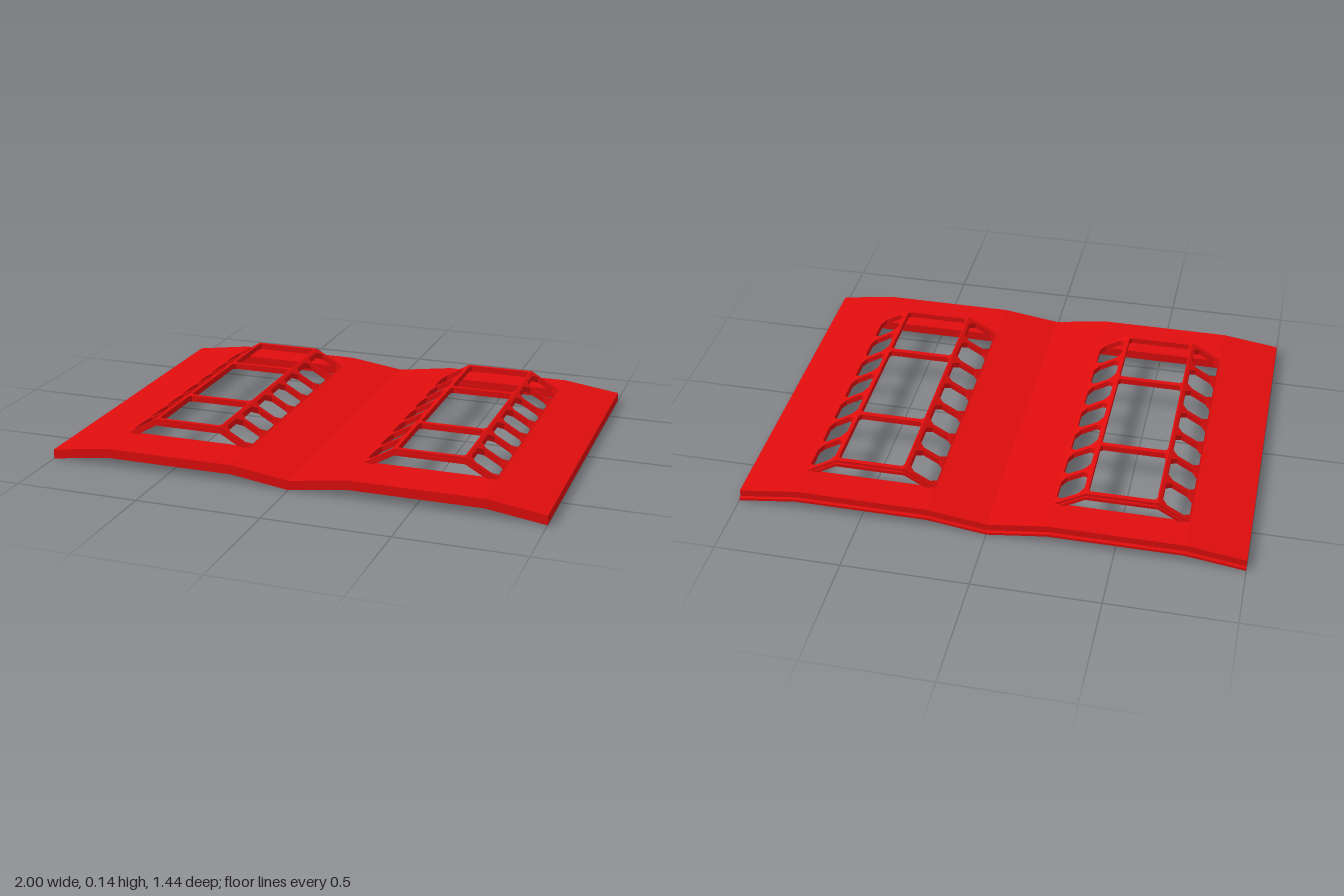
import * as THREE from 'three';

const red = new THREE.MeshStandardMaterial({ color: 0xe00d0d, flatShading: true });

// Piecewise linear height over x, from a list of [x, y] points
const heightAt = (profile, x) => {
  for (let i = 1; i < profile.length; i++) {
    const [x0, y0] = profile[i - 1], [x1, y1] = profile[i];
    if (x <= x1 + 1e-6) return y0 + (y1 - y0) * (x - x0) / (x1 - x0);
  }
  return profile[profile.length - 1][1];
};

// Rectangle with chamfered corners, in plan (x, z)
function outline(target, [x0, x1, z0, z1], c = 0) {
  const pts = c
    ? [[x0 + c, z0], [x1 - c, z0], [x1, z0 + c], [x1, z1 - c], [x1 - c, z1], [x0 + c, z1], [x0, z1 - c], [x0, z0 + c]]
    : [[x0, z0], [x1, z0], [x1, z1], [x0, z1]];
  return target.setFromPoints(pts.map(p => new THREE.Vector2(...p)));
}

// Plate cut from plan, bent along a height profile; lies `drop` below it, `thick` deep
function plate(name, profile, rect, thick, drop = 0, holes = [], chamfer = 0) {
  const shape = outline(new THREE.Shape(), rect);
  for (const h of holes) shape.holes.push(outline(new THREE.Path(), h, chamfer));
  const geo = new THREE.ExtrudeGeometry(shape, { depth: thick, bevelEnabled: false });
  geo.rotateX(Math.PI / 2);
  const p = geo.attributes.position;
  for (let i = 0; i < p.count; i++) p.setY(i, p.getY(i) - drop + heightAt(profile, p.getX(i)));
  geo.computeVertexNormals();
  const mesh = new THREE.Mesh(geo, red);
  mesh.name = name;
  return mesh;
}

const ROOF = [[-0.5, 0.04], [-0.265, 0.073], [0.265, 0.073], [0.5, 0.04]];
const CAGE = [[-0.265, 0.073], [-0.14, 0.145], [0.14, 0.145], [0.265, 0.073]];
const BACK = -0.705, FRONT = 0.72, THICK = 0.038, SKIN = 0.016;
const Z0 = -0.575, Z1 = 0.525;
const PITCH = 0.154, FIRST = -0.56;

// Each straight stretch [x0, x1] of a profile
const spans = profile => profile.slice(1).map((p, i) => [profile[i][0], p[0]]);

function roofBay() {
  const bay = new THREE.Group();
  bay.name = 'roofBay';
  const RIM = THICK - SKIN;
  spans(ROOF).forEach(([x0, x1], i) => {
    // Skin: the middle stretch is open under the cage
    if (i === 1) {
      bay.add(plate('skinFront', ROOF, [x0, x1, Z1 - 0.01, FRONT], SKIN));
      bay.add(plate('skinBack', ROOF, [x0, x1, BACK, Z0 + 0.01], SKIN));
    } else bay.add(plate('skinSide', ROOF, [x0, x1, BACK, FRONT], SKIN));
    // Downturned rim and the back lip
    bay.add(plate('rimFront', ROOF, [x0, x1, FRONT - 0.04, FRONT], RIM, SKIN));
    bay.add(plate('rimBack', ROOF, [x0, x1, BACK, BACK + 0.04], RIM, SKIN));
    bay.add(plate('backLip', ROOF, [x0, x1, -0.72, BACK], 0.01, THICK - 0.01));
  });
  for (const s of [-1, 1]) {
    const edge = s < 0 ? [-0.5, -0.46] : [0.46, 0.5];
    const collar = s < 0 ? [-0.3, -0.265] : [0.265, 0.3];
    bay.add(plate('rimSide', ROOF, [...edge, BACK + 0.04, FRONT - 0.04], RIM, SKIN));
    bay.add(plate('openingCollarSide', ROOF, [...collar, Z0 - 0.025, Z1 + 0.025], RIM, SKIN));
  }
  bay.add(plate('openingCollarFront', ROOF, [-0.265, 0.265, Z1 - 0.01, Z1 + 0.025], RIM, SKIN));
  bay.add(plate('openingCollarBack', ROOF, [-0.265, 0.265, Z0 - 0.025, Z0 + 0.01], RIM, SKIN));
  return bay;
}

function windowCage() {
  const cage = new THREE.Group();
  cage.name = 'windowCage';
  const end = FIRST + 7 * PITCH;
  const row = (a, b, x0, x1) => [x0, x1, FIRST + a * PITCH + 0.01, FIRST + b * PITCH - 0.01];
  const [left, top, right] = spans(CAGE);
  const z = [FIRST - 0.008, end + 0.008];
  const small = (x0, x1) => Array.from({ length: 7 }, (_, i) => row(i, i + 1, x0, x1));
  // Sloped sides with seven panes each, flat top with three
  cage.add(plate('cageSide', CAGE, [...left, ...z], 0.024, 0, small(-0.26, -0.152), 0.022));
  cage.add(plate('cageSide', CAGE, [...right, ...z], 0.024, 0, small(0.152, 0.26), 0.022));
  const panes = [[0, 2], [2, 5], [5, 7]].map(([a, b]) => row(a, b, -0.133, 0.133));
  cage.add(plate('cageTop', CAGE, [...top, ...z], 0.024, 0, panes, 0.01));
  // Slightly lower arches close both ends
  for (const [a, b] of [[Z0, z[0]], [z[1], 0.53]])
    for (const s of [left, top, right])
      cage.add(plate('endArch', CAGE, [...s, a, b], 0.014, 0.012));
  return cage;
}

export function createModel() {
  const model = new THREE.Group();
  model.name = 'roofPanel';
  for (const x of [-0.5, 0.5]) {
    const half = new THREE.Group();
    half.name = x < 0 ? 'rightHalf' : 'leftHalf';
    half.add(roofBay(), windowCage());
    half.position.set(x, -0.002, 0);
    model.add(half);
  }
  return model;
}
